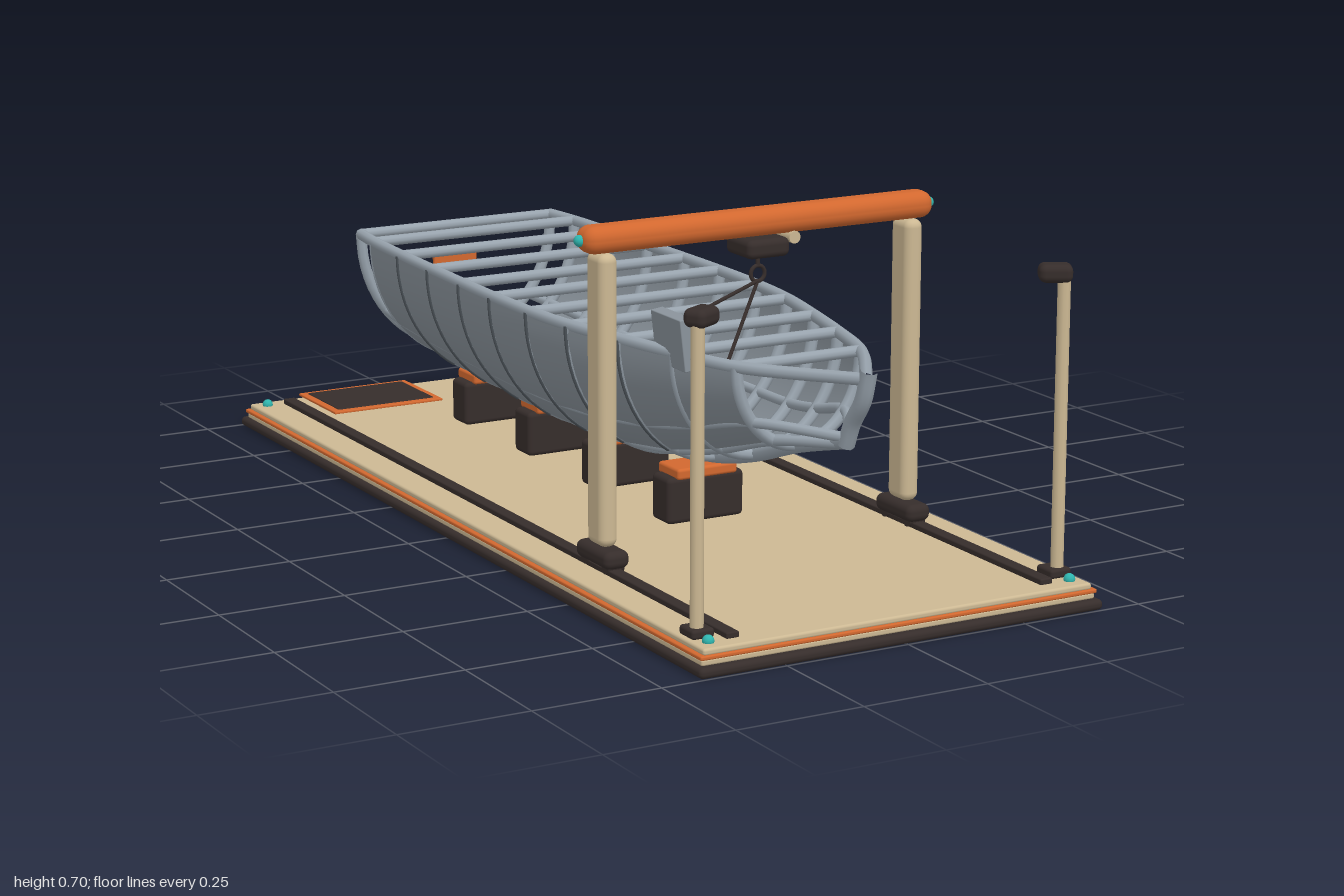
import * as THREE from 'three';
import { RoundedBoxGeometry } from 'three/addons/geometries/RoundedBoxGeometry.js';

const mat = (name, color, side = THREE.FrontSide) => {
  const m = new THREE.MeshStandardMaterial({ color, side });
  m.name = name;
  return m;
};

export function createModel() {
  const root = new THREE.Group();
  root.name = 'boatBuildingSlip';
  const orange = mat('orange', 0xd2682f);
  const sand = mat('sand', 0xccb893);
  const dark = mat('darkBrown', 0x362d2b);
  const steel = mat('frameGrey', 0x99a4ae);
  const plate = mat('plateGrey', 0x8a939b, THREE.DoubleSide);
  const seam = mat('seamGrey', 0x4c5359);
  const teal = mat('teal', 0x2fb5ae);

  const add = (name, geo, m, x = 0, y = 0, z = 0) => {
    const mesh = new THREE.Mesh(geo, m);
    mesh.name = name;
    mesh.position.set(x, y, z);
    root.add(mesh);
    return mesh;
  };
  const box = (name, m, w, h, d, x, y, z, r = 0.008) =>
    add(name, new RoundedBoxGeometry(w, h, d, 3, Math.min(r, h * 0.49, w * 0.49, d * 0.49)), m, x, y, z);
  const V = (x, y, z) => new THREE.Vector3(x, y, z);
  const tube = (name, m, pts, r, steps = 24) =>
    add(name, new THREE.TubeGeometry(new THREE.CatmullRomCurve3(pts), steps, r, 8), m);
  const rod = (name, m, a, b, r) => {
    const mesh = add(name, new THREE.CylinderGeometry(r, r, a.distanceTo(b), 10), m);
    mesh.position.copy(a).lerp(b, 0.5);
    mesh.quaternion.setFromUnitVectors(V(0, 1, 0), b.clone().sub(a).normalize());
    return mesh;
  };
  const bolt = (x, y, z, r = 0.011) => add('bolt', new THREE.SphereGeometry(r, 12, 8), teal, x, y, z);

  // Base slab in layers
  box('baseSlab', dark, 0.846, 0.02, 2.0, 0, 0.01, 0, 0.009);
  box('baseBody', sand, 0.825, 0.012, 1.97, 0, 0.025, 0, 0.004);
  box('baseTrim', orange, 0.832, 0.008, 1.976, 0, 0.034, 0, 0.003);
  box('deckFloor', sand, 0.815, 0.013, 1.965, 0, 0.0425, 0, 0.005);
  for (const s of [-1, 1]) {
    box('rail', dark, 0.026, 0.012, 1.9, s * 0.33, 0.054, 0, 0.003);
    for (const z of [-0.95, 0.95]) bolt(s * 0.38, 0.052, z);
  }
  bolt(0, 0.055, -0.76);

  // Floor hatch at the stern
  box('hatchFrame', orange, 0.255, 0.006, 0.19, -0.157, 0.051, -0.905, 0.002);
  box('hatchPanel', dark, 0.225, 0.005, 0.16, -0.157, 0.0535, -0.905, 0.002);

  // Keel blocks
  for (const z of [0.25, -0.04, -0.33, -0.62]) {
    box('keelBlock', dark, 0.168, 0.092, 0.068, 0, 0.095, z, 0.01);
    box('keelPad', orange, 0.132, 0.022, 0.08, 0, 0.148, z, 0.006);
  }

  // Hull stations: z, half width, keel height
  const top = 0.44;
  const stations = [
    [-0.79, 0.226, 0.185], [-0.70, 0.237, 0.178], [-0.55, 0.245, 0.170], [-0.40, 0.250, 0.165],
    [-0.25, 0.254, 0.162], [-0.11, 0.256, 0.160], [0.04, 0.253, 0.162], [0.18, 0.240, 0.170],
    [0.33, 0.210, 0.190], [0.47, 0.177, 0.226], [0.62, 0.133, 0.278],
  ];
  const at = ([z, a, k], t, out = 0) =>
    V(Math.cos(t) * (a + out), top - Math.sin(t) * (top - k + out), z);
  const rad = THREE.MathUtils.degToRad;
  const arc = (st, from, to, out, n = 14) =>
    Array.from({ length: n + 1 }, (_, i) => at(st, from + (to - from) * i / n, out));

  // Ribs and deck beams
  stations.forEach((st) => {
    tube('rib', steel, arc(st, 0, Math.PI, 0), 0.012, 32);
    rod('deckBeam', steel, V(-st[1], top, st[0]), V(st[1], top, st[0]), 0.011);
  });

  // Side plating, one panel per bay, and dark seams at the joints
  const plateEnd = rad(60);
  const panel = (s0, s1, flip) => {
    const n = 12, pos = [], idx = [];
    const dir = (t) => (flip ? Math.PI - t : t);
    for (let i = 0; i <= n; i++) {
      const t = dir(plateEnd * i / n);
      for (const st of [s0, s1]) pos.push(...at(st, t, 0.01).toArray());
      if (i < n) {
        const k = i * 2;
        idx.push(...(flip ? [k, k + 2, k + 1, k + 1, k + 2, k + 3] : [k, k + 1, k + 2, k + 1, k + 3, k + 2]));
      }
    }
    const g = new THREE.BufferGeometry();
    g.setAttribute('position', new THREE.Float32BufferAttribute(pos, 3));
    // Corners run so that the outer face is the front
    g.setIndex(idx.reverse());
    g.computeVertexNormals();
    return g;
  };
  for (const flip of [false, true]) {
    for (let i = 1; i < stations.length - 1; i++) {
      add('hullPlate', panel(stations[i], stations[i + 1], flip), plate);
      if (i > 1 && i < 9) {
        const [a, b] = flip ? [Math.PI, Math.PI - plateEnd] : [0, plateEnd];
        tube('plateSeam', seam, arc(stations[i], a, b, 0.009), 0.005, 16);
      }
    }
  }

  // Longitudinal stringers running forward to the stem
  for (const s of [-1, 1]) {
    for (const [deg, r, y, z] of [[0, 0.012, 0.45, 0.85], [42, 0.01, 0.33, 0.795], [66, 0.01, 0.315, 0.775]]) {
      const t = s > 0 ? rad(deg) : Math.PI - rad(deg);
      tube('stringer', steel, [...stations.map((st) => at(st, t)), V(0, y, z)], r, 48);
    }
  }
  // Keel and stem
  tube('keel', steel, [...stations.map((st) => at(st, Math.PI / 2)), V(0, 0.325, 0.79)], 0.016, 48);
  tube('stem', steel, [V(0, 0.315, 0.785), V(0, 0.36, 0.805), V(0, 0.41, 0.84), V(0, 0.468, 0.858)], 0.016, 16);
  box('transomPlate', orange, 0.102, 0.04, 0.012, 0, 0.362, -0.803, 0.004);

  // Travelling gantry
  const gz = 0.47;
  const beam = box('gantryBeam', orange, 0.746, 0.052, 0.062, 0, 0.67, gz, 0.024);
  beam.name = 'gantryBeam';
  for (const s of [-1, 1]) {
    box('gantryLeg', sand, 0.038, 0.55, 0.064, s * 0.328, 0.37, gz, 0.016);
    box('gantryFoot', dark, 0.052, 0.034, 0.125, s * 0.328, 0.078, gz, 0.014);
    for (const dz of [-0.04, 0.04]) {
      const wheel = add('gantryWheel', new THREE.CylinderGeometry(0.014, 0.014, 0.034, 14), dark, s * 0.328, 0.064, gz + dz);
      wheel.rotation.z = Math.PI / 2;
    }
    bolt(s * 0.374, 0.67, gz);
  }

  // Hoist, hook ring and slings
  box('hoistTrolley', dark, 0.09, 0.036, 0.09, 0, 0.625, gz, 0.012);
  const drum = add('hoistDrum', new THREE.CylinderGeometry(0.012, 0.012, 0.05, 14), sand, 0.065, 0.637, gz);
  drum.rotation.x = Math.PI / 2;
  rod('hoistCable', dark, V(0, 0.61, gz), V(0, 0.585, gz), 0.004);
  add('hookRing', new THREE.TorusGeometry(0.015, 0.004, 8, 20), dark, 0, 0.571, gz);
  rod('sling', dark, V(0, 0.557, gz), V(-0.17, 0.516, 0.515), 0.0035);
  rod('sling', dark, V(0, 0.557, gz), V(-0.105, 0.385, 0.515), 0.0035);
  const hung = box('hangingPlate', plate, 0.026, 0.1, 0.11, -0.178, 0.465, gz, 0.002);
  hung.rotation.z = 0.12;

  // Lamp poles at the bow end
  for (const s of [-1, 1]) {
    box('lampFoot', dark, 0.045, 0.018, 0.05, s * 0.377, 0.057, 0.905, 0.006);
    rod('lampPole', sand, V(s * 0.38, 0.055, 0.91), V(s * 0.38, 0.605, 0.91), 0.0125);
    const head = box('lampHead', dark, 0.062, 0.034, 0.045, s * 0.367, 0.616, 0.9, 0.013);
    head.rotation.y = s * -0.5;
  }
  return root;
}
